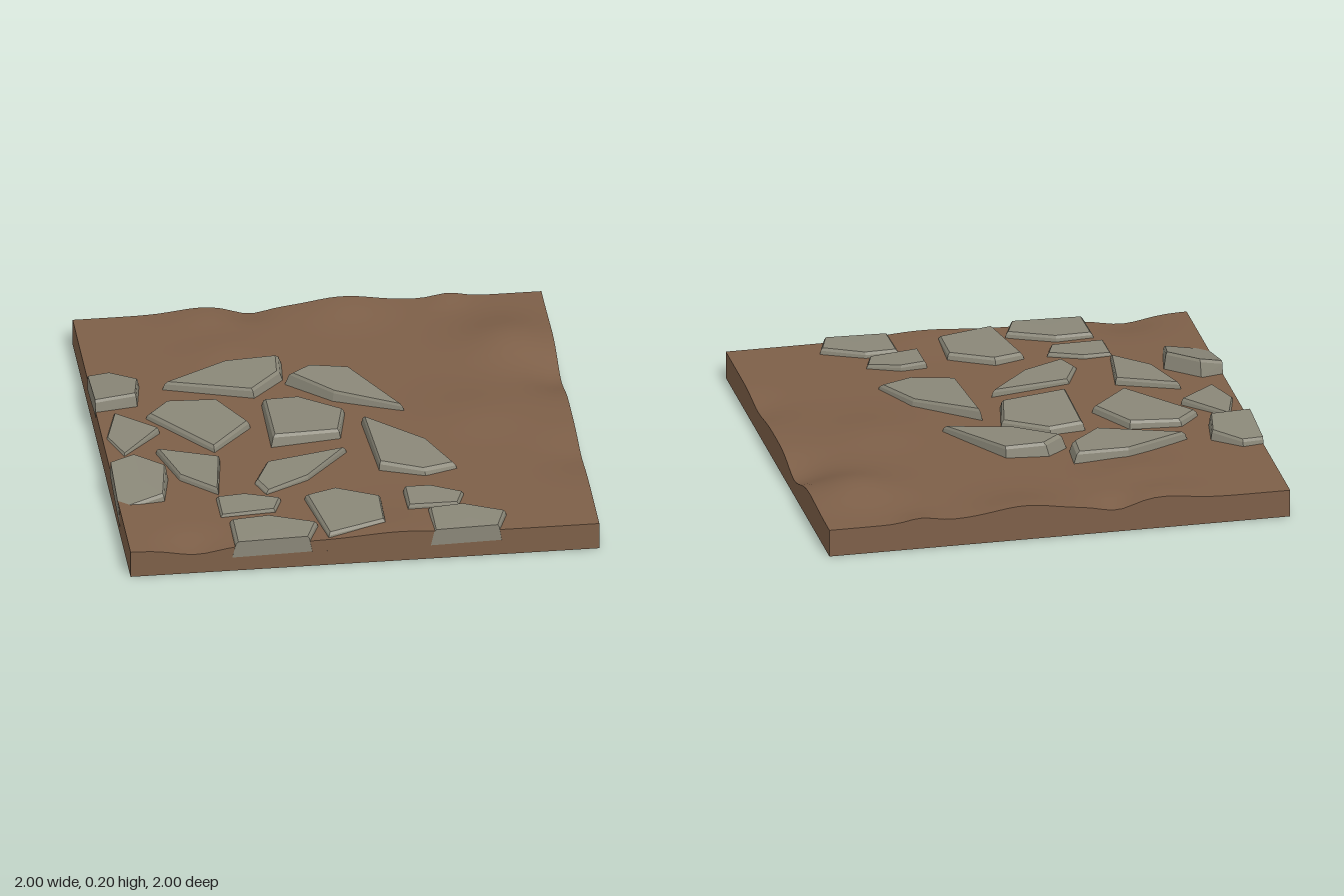
import * as THREE from 'three';

const earth = new THREE.MeshStandardMaterial({ color: 0x7d5f48, side: THREE.DoubleSide });
const slate = new THREE.MeshStandardMaterial({ color: 0x8a8778, side: THREE.DoubleSide, flatShading: true });

// Mounds and hollows in the ground: x, z, radius, height
const mounds = [
  [-0.72, 1, 0.13, -0.03], [0.15, 1, 0.22, 0.02], [1, -0.32, 0.15, -0.05], [1, 0.38, 0.15, -0.022],
  [0.8, -0.6, 0.18, 0.045], [-0.45, -0.95, 0.15, 0.025], [-0.25, -1, 0.09, -0.025], [0.15, -1, 0.18, 0.035],
  [0.6, -1, 0.08, 0.02], [-0.4, -0.66, 0.15, 0.02], [0.6, 0, 0.2, 0.018],
];

function groundHeight(x, z) {
  let y = 0.12;
  for (const [mx, mz, radius, height] of mounds) {
    y += height * Math.exp(-((x - mx) ** 2 + (z - mz) ** 2) / radius ** 2);
  }
  return y;
}

function makeGround() {
  const ground = new THREE.Group();
  ground.name = 'ground';
  const N = 44;
  const surface = new THREE.PlaneGeometry(2, 2, N, N).rotateX(-Math.PI / 2);
  const p = surface.attributes.position;
  for (let i = 0; i < p.count; i++) p.setY(i, groundHeight(p.getX(i), p.getZ(i)));
  surface.computeVertexNormals();
  const top = new THREE.Mesh(surface, earth);
  top.name = 'groundSurface';
  ground.add(top);

  // Four walls follow the edge of the surface; the underside stays open
  for (let k = 0; k < 4; k++) {
    const wall = new THREE.PlaneGeometry(2, 1, N, 1).translate(0, 0.5, 1).rotateY(k * Math.PI / 2);
    const q = wall.attributes.position;
    for (let i = 0; i < q.count; i++) {
      q.setY(i, q.getY(i) > 0.5 ? groundHeight(q.getX(i), q.getZ(i)) : 0);
    }
    const mesh = new THREE.Mesh(wall, earth);
    mesh.name = 'groundWall';
    ground.add(mesh);
  }
  return ground;
}

// Three broken shapes, each in a unit square
const shapes = {
  slab: [[-0.5, -0.45], [-0.05, -0.5], [0.5, -0.15], [0.37, 0.4], [-0.5, 0.5]],
  wedge: [[-0.5, 0.07], [0.05, -0.46], [0.5, -0.5], [0.48, 0], [0.22, 0.5]],
  kite: [[-0.5, 0.25], [0, -0.5], [0.5, 0.25], [0.05, 0.5]],
};

// Paving stones: shape, x, z, length, width, turn in degrees, height, slopes along x and z
const stones = [
  ['slab', -0.9, -0.35, 0.2, 0.27, 0, 0.165, 0.05, 0.1],
  ['wedge', -0.435, -0.38, 0.49, 0.26, 0, 0.163],
  ['wedge', 0.1, -0.23, 0.5, 0.21, 225, 0.165, -0.06],
  ['slab', -0.56, -0.06, 0.28, 0.41, -38, 0.152],
  ['kite', -0.87, 0.01, 0.34, 0.22, 90, 0.14, 0.1],
  ['slab', -0.125, -0.005, 0.32, 0.35, 0, 0.16, -0.04, 0.04],
  ['kite', -0.63, 0.34, 0.42, 0.22, 60, 0.15],
  ['wedge', -0.2, 0.385, 0.46, 0.2, 154, 0.145],
  ['wedge', 0.225, 0.27, 0.5, 0.28, 68, 0.158, -0.04],
  ['slab', -0.89, 0.455, 0.22, 0.31, 0, 0.165, 0.2, -0.22],
  ['slab', -0.45, 0.67, 0.26, 0.16, 0, 0.137],
  ['slab', -0.035, 0.78, 0.29, 0.35, -10, 0.15],
  ['slab', 0.335, 0.71, 0.24, 0.16, 0, 0.145, -0.05],
  ['slab', -0.37, 0.92, 0.35, 0.24, 0, 0.145],
  ['slab', 0.455, 0.92, 0.31, 0.24, 0, 0.145],
];

function makeStone([shape, cx, cz, length, width, turn, height, slopeX = 0.02, slopeZ = -0.02]) {
  const angle = THREE.MathUtils.degToRad(turn);
  const outline = shapes[shape].map(([u, v]) =>
    new THREE.Vector2(u * length, v * width).rotateAround(new THREE.Vector2(), angle));
  const n = outline.length;
  const positions = [], indices = [];

  // Rings from the buried skirt to the worn rim, cut off at the tile's edge
  for (const [scale, drop] of [[1.12, 0.075], [1.03, 0.012], [0.97, 0]]) {
    for (const { x: dx, y: dz } of outline) {
      const x = cx + dx < -0.99 ? -1.001 : Math.max(-1.001, cx + dx * scale);
      const z = cz + dz > 0.99 ? 1.001 : Math.min(1.001, cz + dz * scale);
      positions.push(x, height + slopeX * dx + slopeZ * dz - drop, z);
    }
  }
  positions.push(cx, height, cz);
  for (let i = 0; i < n; i++) {
    const j = (i + 1) % n;
    for (const r of [0, n]) {
      indices.push(r + j, r + i, r + n + i, r + j, r + n + i, r + n + j);
    }
    indices.push(3 * n, 2 * n + j, 2 * n + i);
  }
  const geometry = new THREE.BufferGeometry();
  geometry.setAttribute('position', new THREE.Float32BufferAttribute(positions, 3));
  geometry.setIndex(indices);
  const faceted = geometry.toNonIndexed();
  faceted.computeVertexNormals();
  const mesh = new THREE.Mesh(faceted, slate);
  mesh.name = 'pavingStone';
  return mesh;
}

export function createModel() {
  const model = new THREE.Group();
  model.name = 'stonePath';
  model.add(makeGround());
  const paving = new THREE.Group();
  paving.name = 'paving';
  for (const stone of stones) paving.add(makeStone(stone));
  model.add(paving);
  return model;
}
